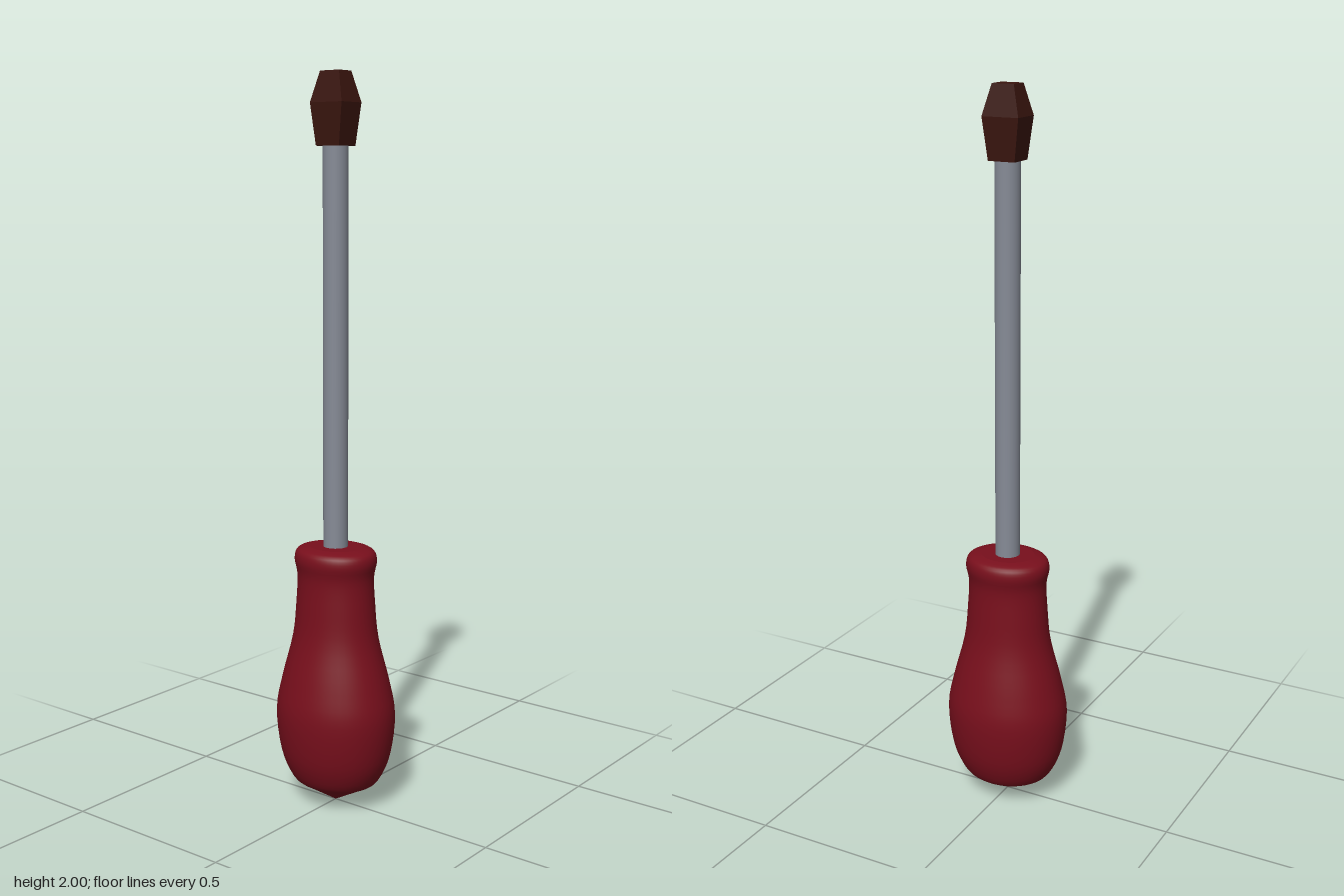
import * as THREE from 'three';

function part(name, geometry, color, options = {}) {
  const mesh = new THREE.Mesh(geometry, new THREE.MeshStandardMaterial({ color, ...options }));
  mesh.name = name;
  return mesh;
}

const points = (list) => list.map(([r, y]) => new THREE.Vector2(r, y));

export function createModel() {
  const model = new THREE.Group();
  model.name = 'screwdriver';

  // Handle: swelling grip with a collar, turned as a lathe and widened to an oval
  const grip = new THREE.SplineCurve(points([
    [0.085, 0.055], [0.111, 0.077], [0.138, 0.15], [0.149, 0.265], [0.134, 0.36],
    [0.107, 0.48], [0.098, 0.58], [0.095, 0.655], [0.102, 0.7], [0.094, 0.727], [0.065, 0.737],
  ])).getPoints(40);
  const oval = 1.17;
  const handle = new THREE.Group();
  handle.name = 'handle';
  handle.scale.z = oval;
  handle.add(
    part('grip', new THREE.LatheGeometry(grip, 48), 0x780f1c),
    part('gripTop', new THREE.LatheGeometry(points([[0.065, 0.737], [0, 0.738]]), 48), 0x780f1c),
    part('buttCap', new THREE.LatheGeometry(points([[0, 0], [0.085, 0.055]]), 48), 0x780f1c),
  );
  model.add(handle);

  // Shaft: plain round rod running from the handle into the tip
  const shaft = part('shaft', new THREE.CylinderGeometry(0.034, 0.034, 1.12, 32), 0x868b96);
  shaft.position.y = 1.27;
  model.add(shaft);

  // Tip: four-sided block, widest in the middle, given by half-widths at three heights
  const rings = [
    { y: 1.81, x: 0.035, z: 0.038 },
    { y: 1.92, x: 0.042, z: 0.052 },
    { y: 2.0, x: 0.026, z: 0.031 },
  ];
  const tipGeometry = new THREE.BoxGeometry(2, 2, 2, 1, 2, 1);
  const p = tipGeometry.attributes.position;
  for (let i = 0; i < p.count; i++) {
    const ring = rings[Math.round(p.getY(i)) + 1];
    p.setXYZ(i, p.getX(i) * ring.x, ring.y, p.getZ(i) * ring.z);
  }
  tipGeometry.computeVertexNormals();
  model.add(part('tip', tipGeometry, 0x3a150e, { flatShading: true }));

  return model;
}
